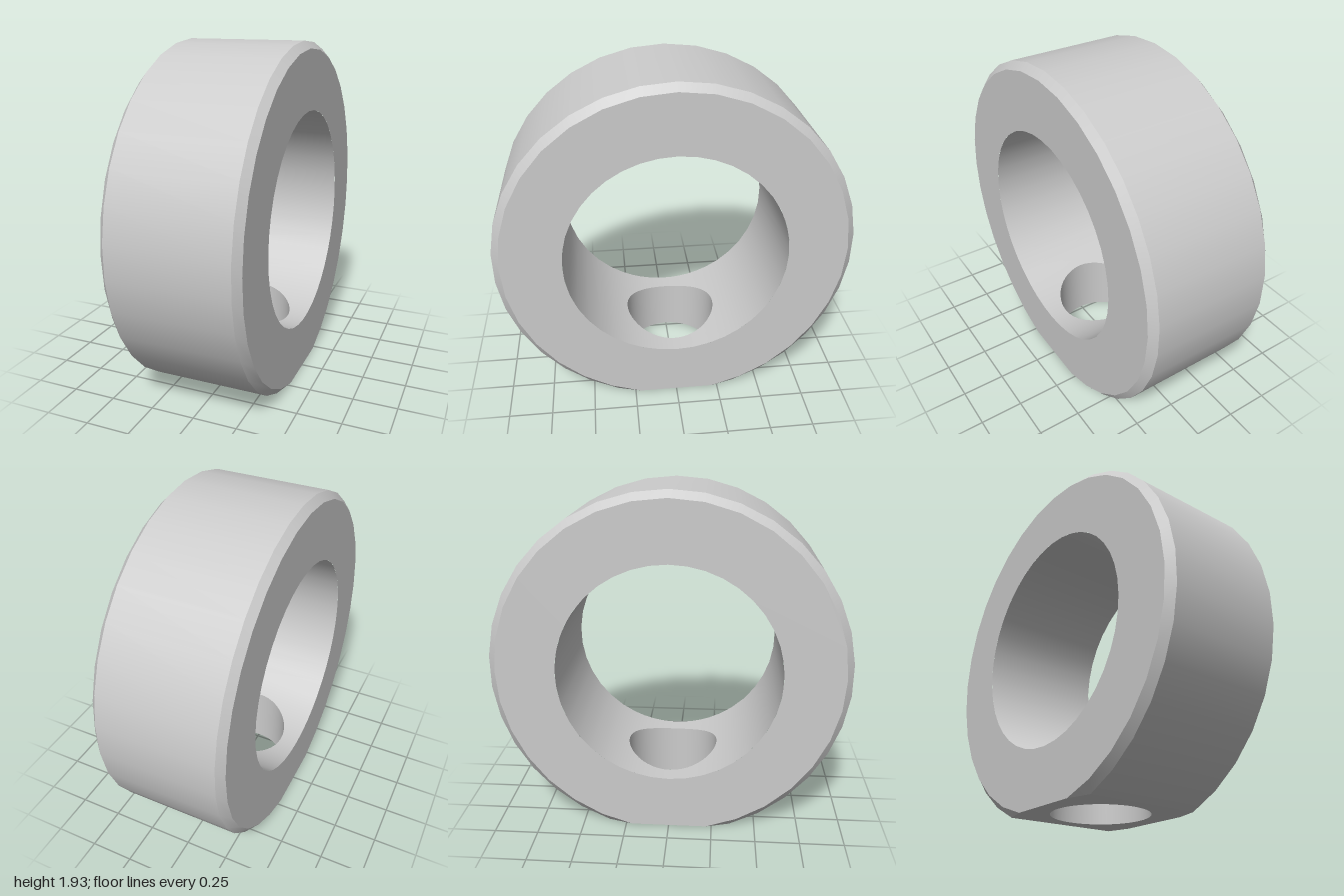
import * as THREE from 'three';
import { ParametricGeometry } from 'three/addons/geometries/ParametricGeometry.js';

const C = 0.935;      // height of the ring axis above the flat
const R = 1;          // outer radius
const RF = 0.96;      // radius of the side faces, inside the chamfer
const BORE = 0.625;
const HW = 0.373;     // half width
const XC = 0.335;     // where the chamfer starts
const HOLE = 0.27;    // radial screw hole
const PATCH = 0.62;   // half angle of the bore area around the screw hole
const SEG = 30;

// Point on a circle about the x axis; t = 0 is the bottom, growing towards +z
const ringPoint = (x, r, t, p) => p.set(x, C - r * Math.cos(t), r * Math.sin(t));

// Angle along the arc that runs from one edge of the bottom flat to the other
const arcAngle = (r, v) => {
  const t0 = Math.acos(C / r);
  return t0 + v * (2 * Math.PI - 2 * t0);
};

export function createModel() {
  const group = new THREE.Group();
  const material = new THREE.MeshStandardMaterial({ color: 0xcccccc });
  const add = (name, geometry) => {
    const mesh = new THREE.Mesh(geometry, material);
    mesh.name = name;
    group.add(mesh);
  };
  const sheet = (name, fn, nu, nv) => add(name, new ParametricGeometry(fn, nu, nv));

  // Outer wall and the two chamfers
  const band = (name, x0, r0, x1, r1) => sheet(name, (u, v, p) => {
    const t = THREE.MathUtils.lerp(arcAngle(r0, v), arcAngle(r1, v), u);
    ringPoint(x0 + u * (x1 - x0), r0 + u * (r1 - r0), t, p);
  }, 1, SEG);
  band('rightChamfer', -HW, RF, -XC, R);
  band('outerWall', -XC, R, XC, R);
  band('leftChamfer', XC, R, HW, RF);

  // Side faces: a disc cut by the flat, with the bore through it
  const face = new THREE.Shape();
  for (let i = 0; i <= SEG; i++) {
    const t = arcAngle(RF, i / SEG);
    const x = RF * Math.sin(t), y = C - RF * Math.cos(t);
    if (i) face.lineTo(x, y); else face.moveTo(x, y);
  }
  face.closePath();
  face.holes.push(new THREE.Path().absarc(0, C, BORE, 0, Math.PI * 2, true));
  for (const [name, side] of [['leftFace', 1], ['rightFace', -1]]) {
    const g = new THREE.ShapeGeometry(face, 20).rotateY(side * Math.PI / 2);
    add(name, g.translate(side * HW, 0, 0));
  }

  // Bottom flat with the screw hole
  const zo = Math.sqrt(R * R - C * C), zi = Math.sqrt(RF * RF - C * C);
  const flat = new THREE.Shape([
    [XC, -zo], [HW, -zi], [HW, zi], [XC, zo],
    [-XC, zo], [-HW, zi], [-HW, -zi], [-XC, -zo],
  ].map(([x, z]) => new THREE.Vector2(x, z)));
  flat.holes.push(new THREE.Path().absarc(0, 0, HOLE, 0, Math.PI * 2, true));
  add('bottomFlat', new THREE.ShapeGeometry(flat, 24).rotateX(Math.PI / 2));

  // Bore wall away from the screw hole
  sheet('boreWall', (u, v, p) => {
    const t = PATCH + u * 2 * (Math.PI - PATCH);
    ringPoint((2 * v - 1) * HW, BORE, t, p);
  }, SEG, 1);

  // Bore wall around the screw hole, spreading from its rim to a rectangle
  sheet('boreWallAroundHole', (u, v, p) => {
    const a = u * Math.PI * 2, c = Math.cos(a), s = Math.sin(a);
    const k = 1 / Math.max(Math.abs(c), Math.abs(s));
    const x = THREE.MathUtils.lerp(HOLE * c, HW * c * k, v);
    const t = THREE.MathUtils.lerp(Math.asin(HOLE * s / BORE), PATCH * s * k, v);
    ringPoint(x, BORE, t, p);
  }, 48, 4);

  // Wall of the screw hole, from the flat up to the bore
  sheet('screwHole', (u, v, p) => {
    const a = u * Math.PI * 2, z = HOLE * Math.sin(a);
    p.set(HOLE * Math.cos(a), v * (C - Math.sqrt(BORE * BORE - z * z)), z);
  }, 48, 1);

  return group;
}
